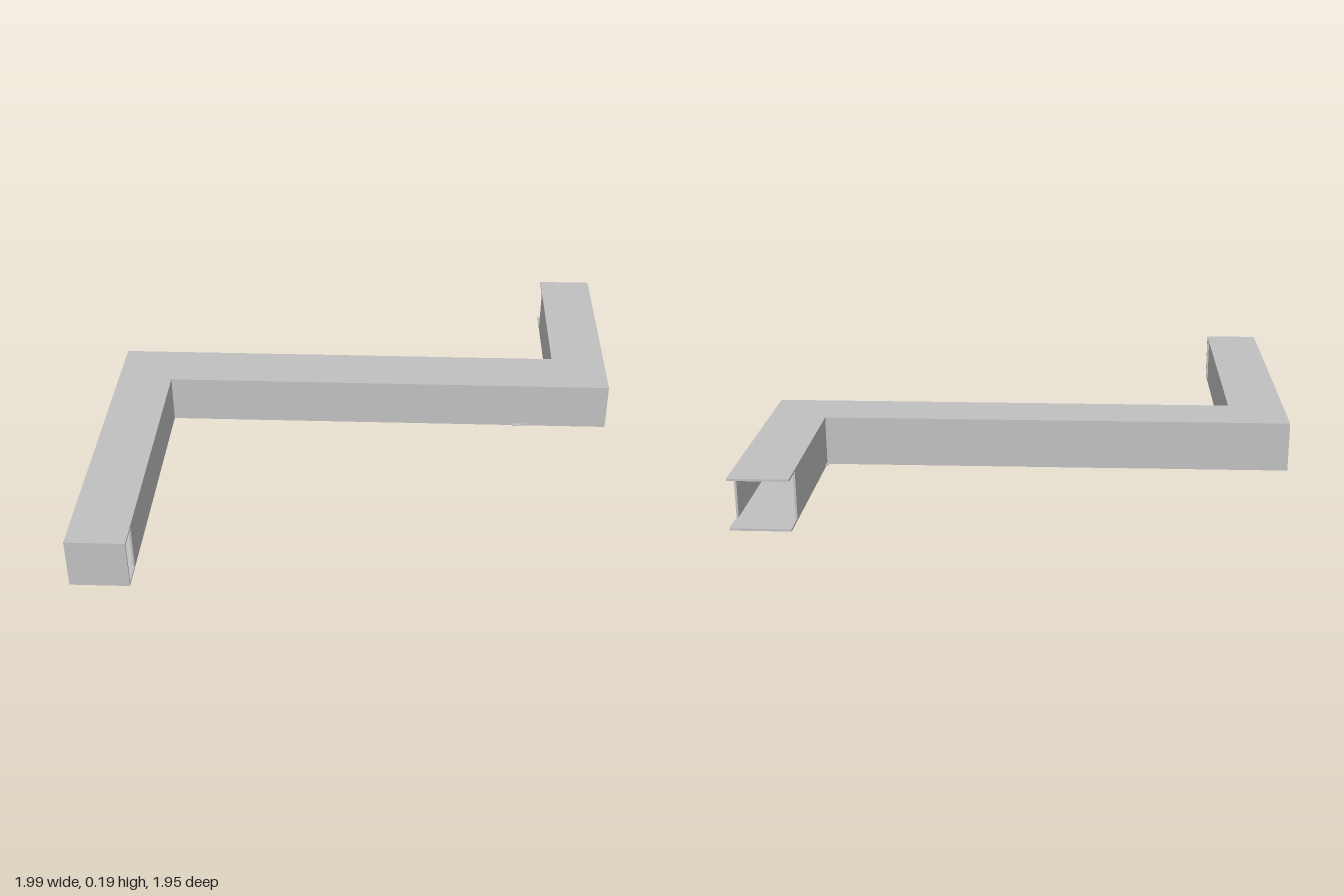
import * as THREE from 'three';

const HEIGHT = 0.19, SHEET = 0.008;

// Flat plate from [x, z] corners, lying at height y
function plate(name, points, y, thickness, material) {
  const shape = new THREE.Shape(points.map(([x, z]) => new THREE.Vector2(x, -z)));
  const geometry = new THREE.ExtrudeGeometry(shape, { depth: thickness, bevelEnabled: false });
  geometry.rotateX(-Math.PI / 2);
  const mesh = new THREE.Mesh(geometry, material);
  mesh.name = name;
  mesh.position.y = y;
  return mesh;
}

// Upright sheets along an [x, z] path, thickened to the right of travel
function wallRun(name, path, material) {
  const group = new THREE.Group();
  group.name = name;
  for (let i = 0; i < path.length - 1; i++) {
    const [x1, z1] = path[i], [x2, z2] = path[i + 1];
    const dx = x2 - x1, dz = z2 - z1, length = Math.hypot(dx, dz);
    const wall = new THREE.Mesh(new THREE.BoxGeometry(length, HEIGHT - 2 * SHEET, SHEET), material);
    wall.name = 'wall';
    wall.rotation.y = Math.atan2(-dz, dx);
    wall.position.set(
      (x1 + x2) / 2 - (dz / length) * SHEET / 2,
      HEIGHT / 2,
      (z1 + z2) / 2 + (dx / length) * SHEET / 2
    );
    group.add(wall);
  }
  return group;
}

export function createModel() {
  const model = new THREE.Group();
  model.name = 'zShapedDuct';
  const metal = new THREE.MeshStandardMaterial({ color: 0xc0c0c0 });
  metal.name = 'grey metal';

  // Top and bottom sheets, full length of the duct
  const outline = [
    [-0.99, 0.97], [-0.775, 0.97], [-0.775, -0.09], [1, -0.09],
    [1, -0.98], [0.785, -0.98], [0.785, -0.305], [-0.99, -0.305]
  ];
  model.add(plate('bottomSheet', outline, 0, SHEET, metal));
  model.add(plate('topSheet', outline, HEIGHT - SHEET, SHEET, metal));

  // Side walls stop short of both ends
  model.add(wallRun('backWalls', [[-0.99, 0.87], [-0.99, -0.305], [0.785, -0.305], [0.785, -0.88]], metal));
  model.add(wallRun('frontWalls', [[1, -0.88], [1, -0.09], [-0.775, -0.09], [-0.775, 0.87]], metal));

  // Cap closing the front end
  const cap = new THREE.Mesh(new THREE.BoxGeometry(0.215, HEIGHT - 2 * SHEET, SHEET), metal);
  cap.name = 'endCap';
  cap.position.set(-0.8825, HEIGHT / 2, 0.97 - SHEET / 2);
  model.add(cap);

  // Small bent tabs near the right corner
  model.add(plate('frontTab', [[0.62, -0.09], [0.62, -0.073], [0.7, -0.09]], 0.005, 0.004, metal));
  model.add(plate('backTab', [[0.785, -0.345], [0.775, -0.33], [0.785, -0.315]], 0.005, 0.004, metal));

  return model;
}
